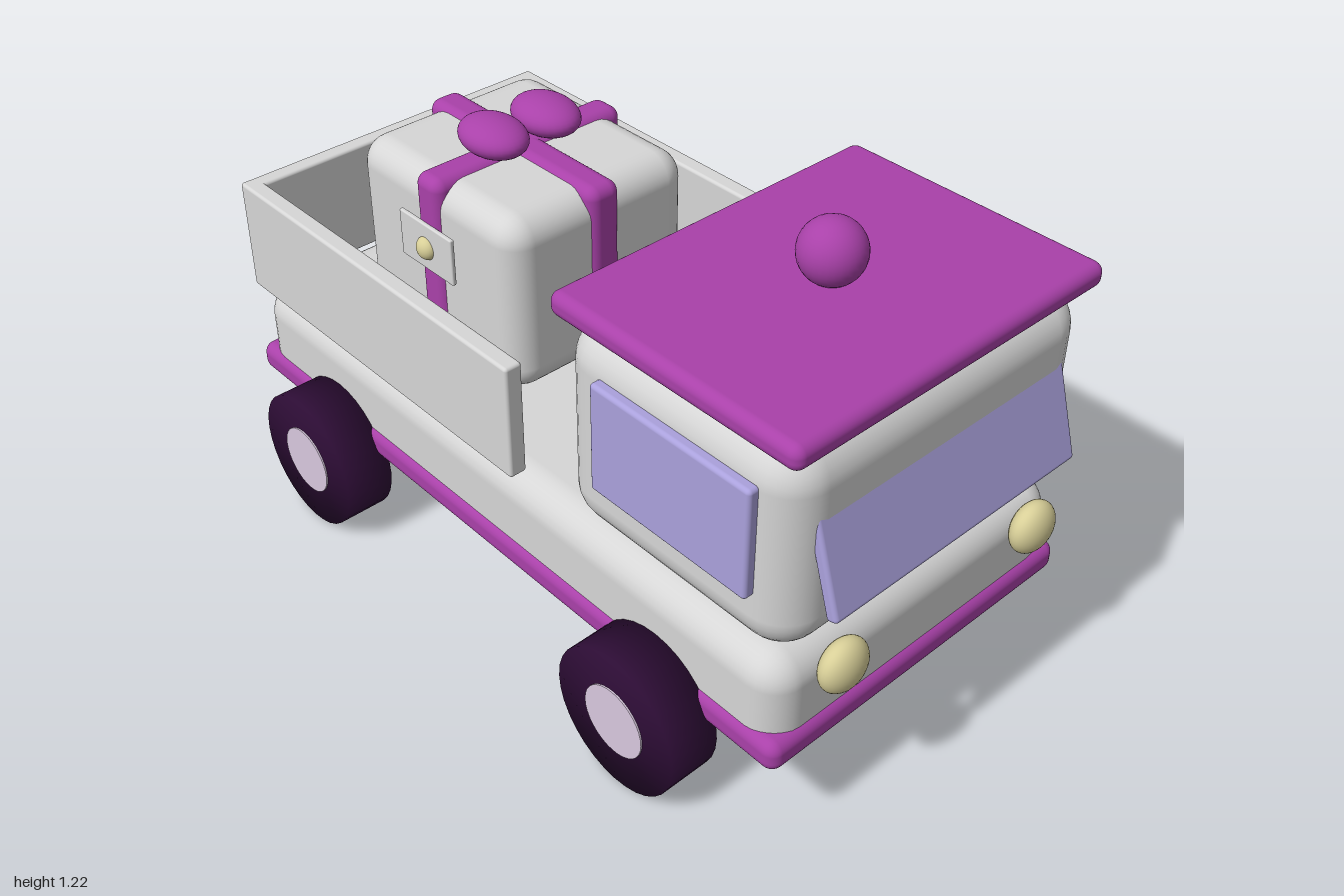
import * as THREE from 'three';
import { mergeVertices } from 'three/addons/utils/BufferGeometryUtils.js';
import { RoundedBoxGeometry } from 'three/addons/geometries/RoundedBoxGeometry.js';

const material = (name, color) => {
  const m = new THREE.MeshStandardMaterial({ color });
  m.name = name;
  return m;
};

export function createModel() {
  const body = material('light grey', 0xd6d6d6);
  const purple = material('purple', 0xa941a9);
  const rubber = material('dark rubber', 0x2c0c34);
  const hubPaint = material('pale lilac', 0xd8c8de);
  const glass = material('lavender glass', 0xaaa1dc);
  const yellow = material('pale yellow', 0xd8cf98);
  const red = material('rose red', 0xd0568a);

  const truck = new THREE.Group();
  truck.name = 'giftTruck';

  const add = (name, geometry, mat, x = 0, y = 0, z = 0) => {
    const mesh = new THREE.Mesh(geometry, mat);
    mesh.name = name;
    mesh.position.set(x, y, z);
    truck.add(mesh);
    return mesh;
  };

  // Rounded box given by its extents on each axis
  const block = (name, mat, [x0, x1], [y0, y1], [z0, z1], r) =>
    add(name, new RoundedBoxGeometry(x1 - x0, y1 - y0, z1 - z0, 4, r), mat,
      (x0 + x1) / 2, (y0 + y1) / 2, (z0 + z1) / 2);

  // Ellipsoid given by its centre and radii
  const blob = (name, mat, x, y, z, rx, ry, rz) =>
    add(name, new THREE.SphereGeometry(1, 32, 20).scale(rx, ry, rz), mat, x, y, z);

  // Chassis and bumper band
  block('chassis', body, [-0.955, 0.92], [0.2, 0.5], [-0.455, 0.455], 0.08);
  block('bumperBand', purple, [-0.97, 0.935], [0.23, 0.31], [-0.468, 0.468], 0.03);

  // Cab, roof and roof light
  block('cab', body, [0.257, 0.925], [0.503, 1.025], [-0.448, 0.448], 0.1);
  block('roof', purple, [0.245, 0.935], [1.02, 1.08], [-0.458, 0.458], 0.025);
  blob('roofBall', purple, 0.59, 1.14, 0, 0.075, 0.075, 0.075);

  // Tilted windshield
  const windshield = add('windshield', new RoundedBoxGeometry(0.03, 0.3, 0.75, 3, 0.01), glass,
    0.932, 0.783, 0);
  windshield.rotation.z = 0.3;

  // Cargo bed walls
  block('rearWall', body, [-0.955, -0.91], [0.503, 0.805], [-0.462, 0.462], 0.008);

  for (const s of [1, -1]) {
    const side = s > 0 ? 'left' : 'right';
    const span = (a, b) => (s > 0 ? [a, b] : [-b, -a]);
    block(side + 'BedWall', body, [-0.955, 0.105], [0.503, 0.805], span(0.418, 0.464), 0.008);
    block(side + 'CabWindow', glass, [0.387, 0.837], [0.66, 0.935], span(0.44, 0.472), 0.01);
    blob(side + 'Headlight', yellow, 0.96, 0.47, s * 0.305, 0.04, 0.065, 0.065);
    blob(side + 'TailLight', red, -0.972, 0.455, s * 0.345, 0.028, 0.05, 0.05);
  }

  // Wheels, softly shaded across their edges
  const tyreGeometry = new THREE.CylinderGeometry(0.182, 0.182, 0.13, 32).rotateX(Math.PI / 2);
  tyreGeometry.deleteAttribute('normal');
  tyreGeometry.deleteAttribute('uv');
  const softTyre = mergeVertices(tyreGeometry);
  softTyre.computeVertexNormals();
  const hubGeometry = new THREE.CylinderGeometry(0.09, 0.09, 0.138, 32).rotateX(Math.PI / 2);
  for (const x of [-0.607, 0.572]) {
    for (const s of [1, -1]) {
      add('tyre', softTyre, rubber, x, 0.182, s * 0.509);
      add('wheelHub', hubGeometry, hubPaint, x, 0.184, s * 0.509);
    }
  }

  // Large gift with crossed ribbons and a bow
  block('largeGift', body, [-0.708, -0.102], [0.5, 0.975], [-0.275, 0.275], 0.07);
  block('largeGiftLongRibbon', purple, [-0.718, -0.092], [0.5, 0.987], [-0.047, 0.047], 0.03);
  block('largeGiftCrossRibbon', purple, [-0.451, -0.359], [0.5, 0.987], [-0.287, 0.287], 0.03);
  for (const s of [1, -1]) blob('bowLoop', purple, -0.405, 1.023, s * 0.08, 0.1, 0.047, 0.075);

  // Gift tag and its stud
  block('giftTag', body, [-0.505, -0.305], [0.74, 0.865], [0.284, 0.296], 0.004);
  blob('tagStud', yellow, -0.405, 0.8, 0.293, 0.03, 0.03, 0.024);

  // Small gift and its ribbon
  block('smallGift', body, [-0.9, -0.6], [0.5, 0.75], [-0.275, 0.028], 0.05);
  block('smallGiftRibbon', purple, [-0.78, -0.72], [0.5, 0.762], [-0.287, 0.04], 0.02);

  return truck;
}
